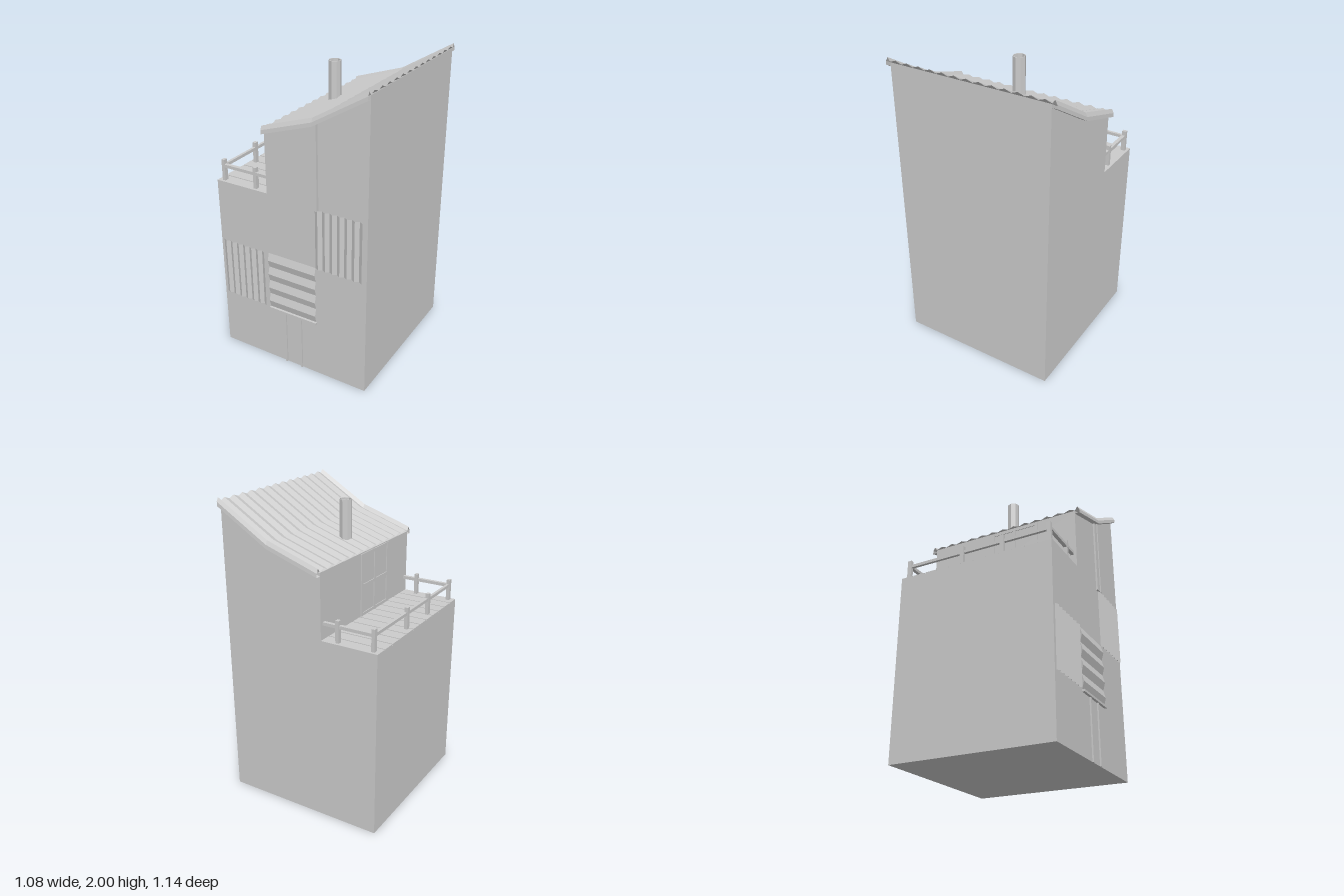
import * as THREE from 'three';

const grey = new THREE.MeshStandardMaterial({ color: 0xcccccc, flatShading: true });
const thin = new THREE.MeshStandardMaterial({ color: 0xcccccc, flatShading: true, side: THREE.DoubleSide });

// Sheet swept from cross-sections: point(section, across) gives [x, y, z]
function sheet(sections, across, point) {
  const pos = [], index = [];
  for (let i = 0; i < sections; i++)
    for (let j = 0; j < across; j++) {
      pos.push(...point(i, j));
      if (i && j) {
        const d = i * across + j, c = d - 1, b = d - across, a = b - 1;
        index.push(a, b, c, b, d, c);
      }
    }
  const g = new THREE.BufferGeometry();
  g.setAttribute('position', new THREE.Float32BufferAttribute(pos, 3));
  g.setIndex(index);
  const flat = g.toNonIndexed();
  flat.computeVertexNormals();
  return flat;
}

export function createModel() {
  const model = new THREE.Group();
  const add = (name, geometry, material = grey, parent = model) => {
    const m = new THREE.Mesh(geometry, material);
    m.name = name;
    parent.add(m);
    return m;
  };
  // Box given by its two opposite corners
  const box = (name, x0, x1, y0, y1, z0, z1, parent) => {
    add(name, new THREE.BoxGeometry(x1 - x0, y1 - y0, z1 - z0), grey, parent)
      .position.set((x0 + x1) / 2, (y0 + y1) / 2, (z0 + z1) / 2);
  };
  const group = (name) => {
    const g = new THREE.Group();
    g.name = name;
    model.add(g);
    return g;
  };

  // House body: stepped side profile with a two-pitch top
  const roofLine = [[-0.16, 1.65], [0.19, 1.765], [0.54, 1.975]];
  const outline = [[-0.54, 0], [0.54, 0], [0.54, 1.972], [0.19, 1.762], [-0.16, 1.647], [-0.16, 1.222], [-0.54, 1.222]];
  const body = new THREE.ExtrudeGeometry(
    new THREE.Shape(outline.map(([x, y]) => new THREE.Vector2(x, y))), { depth: 1.076, bevelEnabled: false });
  add('houseBody', body.translate(0, 0, -0.538));

  // Corrugated roof with folded rims at front and back
  const ribs = [[-0.538, -0.025], [-0.572, -0.025], [-0.57, 0], [-0.557, 0.025]];
  for (let k = 0; k <= 26; k++) ribs.push([-0.54 + k * 1.08 / 26, k % 2 ? 0.015 : 0]);
  ribs.push([0.557, 0.025], [0.57, 0], [0.572, -0.025], [0.538, -0.025]);
  add('corrugatedRoof', sheet(3, ribs.length, (i, j) =>
    [roofLine[i][0], roofLine[i][1] + ribs[j][1], ribs[j][0]]), thin);

  // Open chimney pipe
  const pipe = [[0.036, 1.66], [0.041, 1.66], [0.041, 1.95], [0.036, 1.95], [0.036, 1.66]];
  add('chimney', new THREE.LatheGeometry(pipe.map(([r, y]) => new THREE.Vector2(r, y)), 8), thin);

  // Terrace deck planks
  const deck = group('deck');
  for (let k = 0; k < 12; k++) {
    const z = -0.54 + k * 0.09;
    box('deckPlank', -0.54, -0.16, 1.215, 1.23, z + (k ? 0.004 : 0.002), z + (k < 11 ? 0.086 : 0.088), deck);
  }

  // Terrace railing
  const railing = group('railing');
  const posts = [[-0.5, -0.507], [-0.5, -0.105], [-0.5, 0.185], [-0.5, 0.507], [-0.26, -0.507], [-0.26, 0.507]];
  for (const [x, z] of posts)
    box('railPost', x - 0.011, x + 0.011, 1.225, 1.37, z - 0.014, z + 0.014, railing);
  box('sideRail', -0.506, -0.488, 1.32, 1.34, -0.515, 0.515, railing);
  for (const z of [-0.504, 0.51])
    box('endRail', -0.5, -0.16, 1.32, 1.34, z - 0.012, z + 0.012, railing);

  // Terrace door frame with four panes
  const terraceDoor = group('terraceDoor');
  for (const z of [-0.08, 0.0825, 0.245])
    box('doorStile', -0.166, -0.155, 1.23, 1.64, z, z + 0.02, terraceDoor);
  for (const y of [1.23, 1.42, 1.62])
    box('doorRail', -0.165, -0.155, y, y + 0.02, -0.08, 0.265, terraceDoor);

  // Ribbed panels on the front wall
  const depth = (k) => (k % 2 ? 0.553 : 0.539);
  const uprightPanel = (name, x0, y0, y1) => add(name, sheet(2, 14, (i, j) =>
    [x0 + j * 0.0252, i ? y1 : y0, depth(j)]), thin);
  uprightPanel('lowerRibbedPanel', -0.52, 0.405, 0.81);
  uprightPanel('upperRibbedPanel', 0.185, 0.81, 1.215);
  add('louvrePanel', sheet(2, 9, (i, j) =>
    [i ? -0.165 : 0.185, 0.405 + j * 0.0506, depth(j)]), thin);
  box('louvreSill', -0.165, 0.19, 0.39, 0.405, 0.53, 0.555);

  // Front door jambs
  for (const x of [-0.055, 0.063])
    box('doorJamb', x, x + 0.012, 0, 0.39, 0.53, 0.548);

  // Tall trim board beside the roof break
  box('trimBoard', 0.16, 0.2, 1.21, 1.755, 0.53, 0.55);
  box('trimStrip', 0.2, 0.21, 1.21, 1.765, 0.53, 0.557);

  return model;
}
